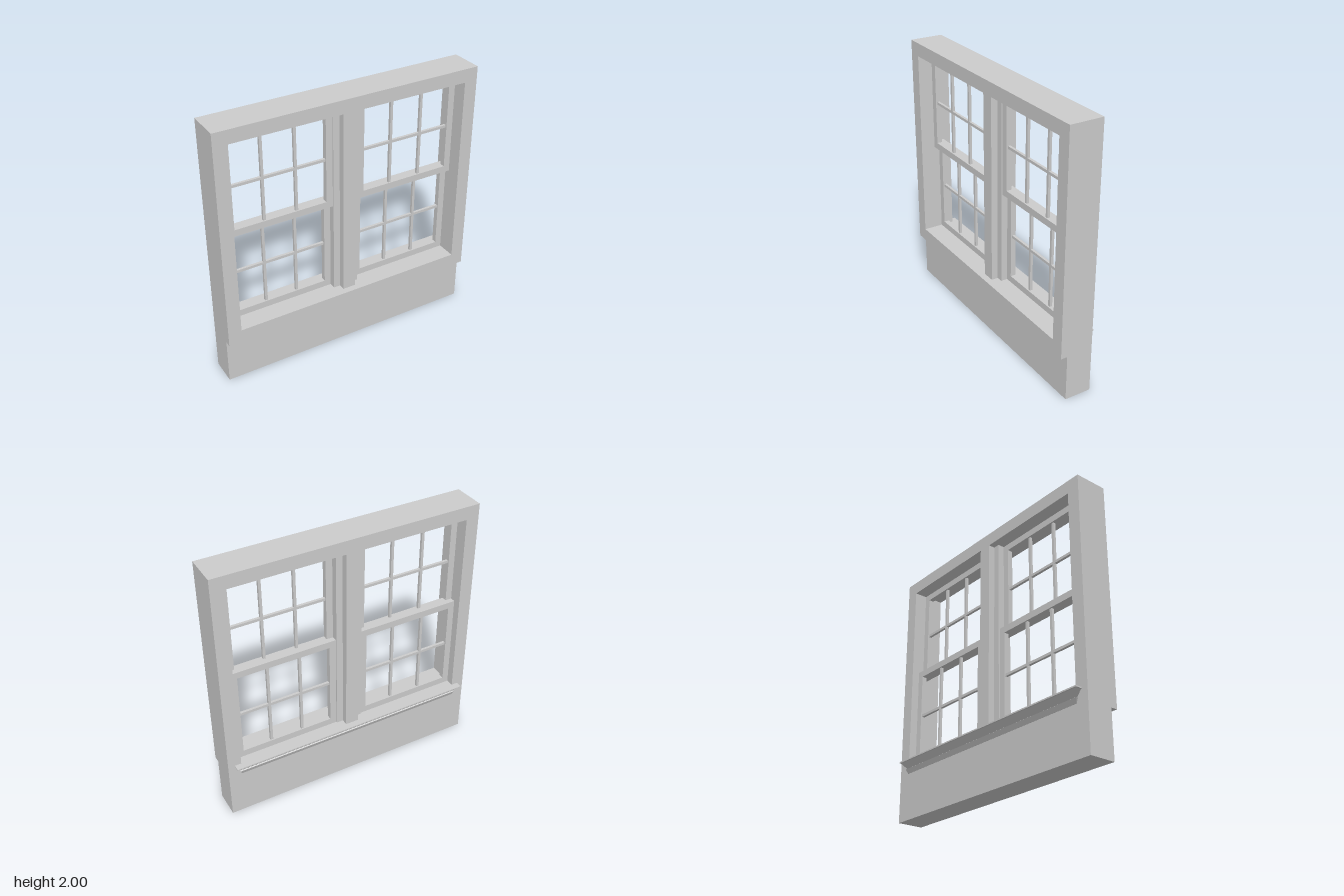
import * as THREE from 'three';

const mat = new THREE.MeshStandardMaterial({ color: 0xcccccc, flatShading: true });

function add(parent, name, geometry) {
  const mesh = new THREE.Mesh(geometry, mat);
  mesh.name = name;
  parent.add(mesh);
  return mesh;
}

// Box given by its extents on each axis
function box(parent, name, x0, x1, y0, y1, z0, z1) {
  const mesh = add(parent, name, new THREE.BoxGeometry(x1 - x0, y1 - y0, z1 - z0));
  mesh.position.set((x0 + x1) / 2, (y0 + y1) / 2, (z0 + z1) / 2);
  return mesh;
}

function rect(target, x0, x1, y0, y1) {
  target.moveTo(x0, y0);
  target.lineTo(x1, y0);
  target.lineTo(x1, y1);
  target.lineTo(x0, y1);
  target.closePath();
  return target;
}

// Rectangular frame: outer and inner extents as [x0, x1, y0, y1]
function frame(parent, name, outer, inner, z0, z1) {
  const shape = rect(new THREE.Shape(), ...outer);
  shape.holes.push(rect(new THREE.Path(), ...inner));
  const geo = new THREE.ExtrudeGeometry(shape, { depth: z1 - z0, bevelEnabled: false });
  return add(parent, name, geo.translate(0, 0, z0));
}

// Sash: frame with two vertical and one horizontal glazing bars
function sash(name, cx, y0, y1, z0, z1) {
  const g = new THREE.Group();
  g.name = name;
  const w = 0.4, t = 0.05, bar = 0.01;
  const inner = [cx - w + t, cx + w - t, y0 + t, y1 - t];
  frame(g, 'sashFrame', [cx - w, cx + w, y0, y1], inner, z0, z1);
  const zc = (z0 + z1) / 2, cy = (y0 + y1) / 2;
  for (const dx of [-0.123, 0.123]) {
    box(g, 'verticalBar', cx + dx - bar, cx + dx + bar, inner[2], inner[3], zc - bar, zc + bar);
  }
  box(g, 'horizontalBar', inner[0], inner[1], cy - bar, cy + bar, zc - bar, zc + bar);
  return g;
}

// Stool moulding with returned ends, lofted through levels of [y, projection]
function stoolGeometry(levels) {
  const pos = [];
  const ring = ([y, d]) => [
    [0.9 + d, y, -0.1], [0.9 + d, y, -0.1 - d], [-0.9 - d, y, -0.1 - d], [-0.9 - d, y, -0.1],
  ];
  const quad = (a, b, c, d) => pos.push(...a, ...b, ...c, ...a, ...c, ...d);
  const rings = levels.map(ring);
  for (let i = 0; i < rings.length - 1; i++) {
    const u = rings[i], l = rings[i + 1];
    for (let k = 0; k < 3; k++) quad(u[k], u[k + 1], l[k + 1], l[k]);
  }
  const top = rings[0], bottom = rings[rings.length - 1];
  quad(top[0], top[1], top[2], top[3]);
  quad(bottom[3], bottom[2], bottom[1], bottom[0]);
  const geo = new THREE.BufferGeometry();
  geo.setAttribute('position', new THREE.Float32BufferAttribute(pos, 3));
  geo.computeVertexNormals();
  return geo;
}

export function createModel() {
  const model = new THREE.Group();
  model.name = 'doubleWindow';

  // Wall below and thicker surround
  box(model, 'lowerWall', -1, 1, 0, 0.35, -0.1, 0.1);
  frame(model, 'surround', [-1, 1, 0.35, 2], [-0.9, 0.9, 0.45, 1.9], -0.1, 0.15);

  // Centre post with a shallower strip on each side
  box(model, 'centrePost', -0.05, 0.05, 0.45, 1.9, -0.1, 0.1);
  for (const s of [-1, 1]) {
    const strip = box(model, 'postStrip', 0.05, 0.1, 0.45, 1.9, -0.05, 0.05);
    strip.position.x *= s;
  }

  // Upper sash to the front, lower sash behind, on both sides
  for (const [side, cx] of [['left', 0.5], ['right', -0.5]]) {
    model.add(sash(side + 'UpperSash', cx, 1.15, 1.9, 0, 0.04));
    model.add(sash(side + 'LowerSash', cx, 0.45, 1.2, -0.04, 0));
  }

  // Moulded stool along the back
  const levels = [[0.45, 0.05], [0.44, 0.05], [0.437, 0.043], [0.395, 0.008], [0.39, 0.016], [0.355, 0.001]];
  const stool = add(model, 'stool', stoolGeometry(levels));
  stool.material = mat.clone();
  stool.material.side = THREE.DoubleSide;

  return model;
}
